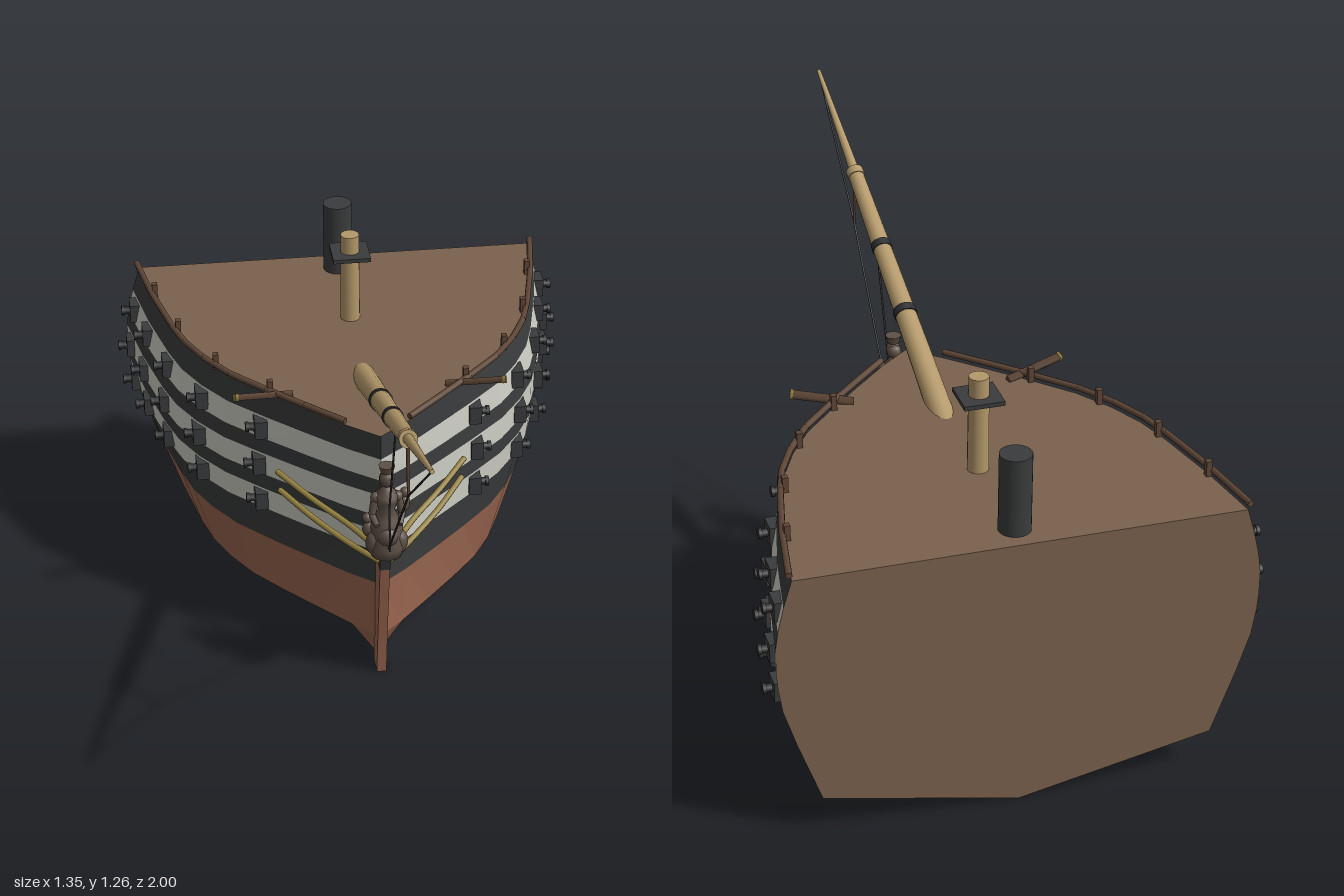
import * as THREE from 'three';

const mat = (name, color) => Object.assign(new THREE.MeshStandardMaterial({ color }), { name });
const V = (x, y, z) => new THREE.Vector3(x, y, z);

// Plan of the hull: [z, share of full width]
const PLAN = [[-1, 1], [-0.8, 0.945], [-0.6, 0.87], [-0.5, 0.82], [-0.4, 0.74], [-0.3, 0.63],
  [-0.2, 0.475], [-0.1, 0.31], [0, 0.14], [0.07, 0]];
// Cross-section at the stern: [y, half width]
const SECTION = [[0, 0], [0.11, 0.53], [0.29, 0.595], [0.40, 0.63], [0.47, 0.641], [0.52, 0.645],
  [0.59, 0.645], [0.64, 0.638], [0.71, 0.622], [0.785, 0.6]];

function lookup(table, t) {
  for (let i = 1; i < table.length; i++) {
    const [a, va] = table[i - 1], [b, vb] = table[i];
    if (t <= b) return va + (vb - va) * (t - a) / (b - a);
  }
  return table[table.length - 1][1];
}
const halfWidth = (z, y) => lookup(PLAN, z) * lookup(SECTION, y);

function triangles(points) {
  const g = new THREE.BufferGeometry().setFromPoints(points);
  g.computeVertexNormals();
  return g;
}

export function createModel() {
  const ship = new THREE.Group();
  ship.name = 'shipBow';
  const deckWood = mat('deckWood', 0x7a624e);
  const copper = mat('copper', 0x9a6650);
  const black = mat('blackPaint', 0x3a3b3c);
  const white = mat('whitePaint', 0xcdcec4);
  const spar = mat('sparWood', 0xb3986a);
  const railWood = mat('railWood', 0x5e4636);
  const gold = mat('gold', 0x94803f);
  const bronze = mat('carvedBronze', 0x5e5046);
  const iron = mat('iron', 0x2c2d2f);

  const add = (name, geo, material, x = 0, y = 0, z = 0, parent = ship) => {
    const m = new THREE.Mesh(geo, material);
    m.name = name;
    m.position.set(x, y, z);
    parent.add(m);
    return m;
  };
  // Round bar from a to b
  const bar = (name, a, b, ra, rb, material, sides = 16) => {
    const m = add(name, new THREE.CylinderGeometry(rb, ra, a.distanceTo(b), sides), material);
    m.position.copy(a).lerp(b, 0.5);
    m.quaternion.setFromUnitVectors(V(0, 1, 0), b.clone().sub(a).normalize());
    return m;
  };

  // Hull planking: one strip of facets for each paint band
  const bands = [['keelPlanks', copper], ['copperSides', copper], ['lowerWale', black], ['lowerStripe', white],
    ['middleWale', black], ['middleStripe', white], ['upperWale', black], ['upperStripe', white], ['bulwark', black]];
  bands.forEach(([name, material], j) => {
    const pts = [];
    for (const s of [1, -1]) {
      for (let i = 0; i + 1 < PLAN.length; i++) {
        const p = (a, b) => V(s * PLAN[a][1] * SECTION[b][1], SECTION[b][0], PLAN[a][0]);
        const [a, b, c, d] = [p(i, j), p(i, j + 1), p(i + 1, j + 1), p(i + 1, j)];
        pts.push(...(s > 0 ? [a, b, c, a, c, d] : [a, c, b, a, d, c]));
      }
    }
    add(name, triangles(pts), material);
  });

  // Deck and the flat closed stern
  const deck = [];
  for (let i = 0; i + 1 < PLAN.length; i++) {
    const [z0, f0] = PLAN[i], [z1, f1] = PLAN[i + 1];
    const [a, b, c, d] = [V(-f0 * 0.6, 0.785, z0), V(f0 * 0.6, 0.785, z0), V(f1 * 0.6, 0.785, z1), V(-f1 * 0.6, 0.785, z1)];
    deck.push(a, c, b, a, d, c);
  }
  add('deck', triangles(deck), deckWood);
  const outline = [...SECTION.map(([y, w]) => new THREE.Vector2(w, y)),
    ...SECTION.slice(1).reverse().map(([y, w]) => new THREE.Vector2(-w, y))];
  add('sternFace', new THREE.ShapeGeometry(new THREE.Shape(outline)), deckWood, 0, 0, -1).rotation.y = Math.PI;

  // Stem: copper cutwater with black knee above
  const stem = (name, profile, material, width) => {
    const shape = new THREE.Shape(profile.map(([z, y]) => new THREE.Vector2(z, y)));
    const g = new THREE.ExtrudeGeometry(shape, { depth: width, bevelEnabled: false });
    g.translate(0, 0, -width / 2).rotateY(-Math.PI / 2);
    add(name, g, material);
  };
  stem('cutwater', [[0.03, 0], [0.093, 0], [0.11, 0.12], [0.135, 0.26], [0.16, 0.4], [0.03, 0.4]], copper, 0.028);
  stem('stemKnee', [[0.03, 0.4], [0.16, 0.4], [0.175, 0.45], [0.215, 0.495], [0.13, 0.5], [0.03, 0.5]], black, 0.03);

  // Guns in three rows on both sides
  for (const y of [0.435, 0.555, 0.675]) {
    for (const z of [-0.21, -0.395, -0.59, -0.78, -0.935]) {
      for (const s of [1, -1]) {
        const x = s * halfWidth(z, y);
        add('gunPort', new THREE.BoxGeometry(0.036, 0.055, 0.058), black, x, y, z);
        bar('gunBarrel', V(x - s * 0.03, y, z), V(x + s * 0.042, y, z), 0.014, 0.011, iron, 10);
        bar('gunMuzzle', V(x + s * 0.033, y, z), V(x + s * 0.043, y, z), 0.015, 0.015, iron, 10);
      }
    }
  }

  for (const s of [1, -1]) {
    // Top rail along the deck edge, with posts
    const edge = PLAN.slice(0, -1).map(([z, f]) => V(s * (f * 0.6 + 0.006), 0.801, z));
    for (let i = 0; i + 1 < edge.length; i++) {
      bar('topRail', edge[i], edge[i + 1], 0.009, 0.009, railWood, 8);
    }
    for (const z of [-0.2, -0.37, -0.58, -0.81]) {
      add('railPost', new THREE.BoxGeometry(0.016, 0.046, 0.018), railWood, s * (halfWidth(z, 0.785) - 0.005), 0.806, z);
    }
    // Anchor beam
    bar('anchorBeam', V(s * 0.22, 0.79, -0.185), V(s * 0.38, 0.815, -0.142), 0.013, 0.013, railWood, 4);
    bar('anchorBeamCap', V(s * 0.378, 0.8147, -0.1425), V(s * 0.386, 0.816, -0.14), 0.015, 0.015, gold, 4);
    // Curved head rails
    for (const drop of [0, 0.062]) {
      const path = new THREE.CatmullRomCurve3([
        V(s * (0.27 - drop * 0.1), 0.562 - drop, -0.14), V(s * 0.18, 0.53 - drop, -0.03),
        V(s * 0.09, 0.502 - drop, 0.07), V(s * 0.012, 0.482 - drop * 0.8, 0.19 - drop * 0.4)]);
      add('headRail', new THREE.TubeGeometry(path, 16, 0.0085, 8), gold);
    }
  }

  // Bowsprit, its extension, hoops and martingale
  const along = z => V(0, 0.875 + 0.378 * z, z);
  bar('bowsprit', along(-0.34), along(0.6), 0.036, 0.022, spar);
  bar('bowspritCap', along(0.575), along(0.6), 0.025, 0.025, spar);
  bar('jibBoom', along(0.58), V(0, 1.253, 0.998), 0.015, 0.006, spar);
  for (const [z, r] of [[0.07, 0.033], [0.31, 0.029]]) {
    bar('bowspritHoop', along(z - 0.011), along(z + 0.011), r, r, iron);
  }
  bar('martingale', V(0, 1.09, 0.59), V(0, 0.932, 0.608), 0.006, 0.004, railWood, 8);

  // Ropes
  const ropes = [[V(0, 1.248, 0.99), V(0, 0.935, 0.608)], [V(0, 0.935, 0.608), V(0, 0.5, 0.215)],
    [V(0, 0.97, 0.36), V(0, 0.67, 0.25)], [V(0, 0.67, 0.25), V(0, 0.53, 0.26)]];
  for (const [a, b] of ropes) bar('stayRope', a, b, 0.003, 0.003, iron, 6);

  // Foremast stump with its square platform, and the pipe behind it
  bar('mast', V(0, 0.78, -0.61), V(0, 1.06, -0.61), 0.029, 0.027, spar);
  add('mastPlatform', new THREE.BoxGeometry(0.11, 0.012, 0.11), black, 0, 1, -0.61);
  bar('blackPipe', V(0, 0.78, -0.92), V(0, 1.005, -0.92), 0.043, 0.043, black, 24);

  // Figurehead: robed, crowned figure with two attendants
  const figure = new THREE.Group();
  figure.name = 'figurehead';
  ship.add(figure);
  const robe = [[0, 0.475], [0.045, 0.48], [0.052, 0.51], [0.042, 0.54], [0.046, 0.57], [0.034, 0.6],
    [0.023, 0.625], [0.032, 0.655], [0.034, 0.675], [0.014, 0.693], [0.011, 0.71], [0, 0.71]];
  add('robe', new THREE.LatheGeometry(robe.map(([r, y]) => new THREE.Vector2(r, y)), 14), bronze, 0, 0, 0.19, figure);
  add('head', new THREE.SphereGeometry(0.021, 12, 10), bronze, 0, 0.726, 0.195, figure).scale.y = 1.2;
  add('hair', new THREE.SphereGeometry(0.021, 10, 8), bronze, 0, 0.722, 0.184, figure);
  add('crown', new THREE.CylinderGeometry(0.023, 0.017, 0.022, 10), bronze, 0, 0.758, 0.193, figure);
  add('backDrapery', new THREE.SphereGeometry(0.04, 10, 8), bronze, 0, 0.535, 0.165, figure).scale.set(1, 1.4, 0.9);
  add('knees', new THREE.SphereGeometry(0.032, 10, 8), bronze, 0, 0.555, 0.215, figure);
  for (const s of [1, -1]) {
    add('shoulder', new THREE.SphereGeometry(0.016, 10, 8), bronze, s * 0.03, 0.667, 0.192, figure);
    figure.add(bar('upperArm', V(s * 0.032, 0.665, 0.192), V(s * 0.042, 0.615, 0.2), 0.012, 0.01, bronze, 8));
    figure.add(bar('forearm', V(s * 0.042, 0.615, 0.2), V(s * 0.032, 0.6, 0.235), 0.01, 0.008, bronze, 8));
    add('robeFold', new THREE.SphereGeometry(0.026, 10, 8), bronze, s * 0.034, 0.52, 0.195, figure).scale.y = 1.5;
  }
  // Attendants: one raised on the left, one seated low on the right
  for (const [x, y, z] of [[0.055, 0.66, 0.165], [-0.052, 0.59, 0.175]]) {
    add('attendantHead', new THREE.SphereGeometry(0.015, 10, 8), bronze, x, y, z, figure);
    add('attendantBody', new THREE.SphereGeometry(0.017, 10, 8), bronze, x * 0.95, y - 0.035, z, figure).scale.y = 1.5;
  }
  return ship;
}
